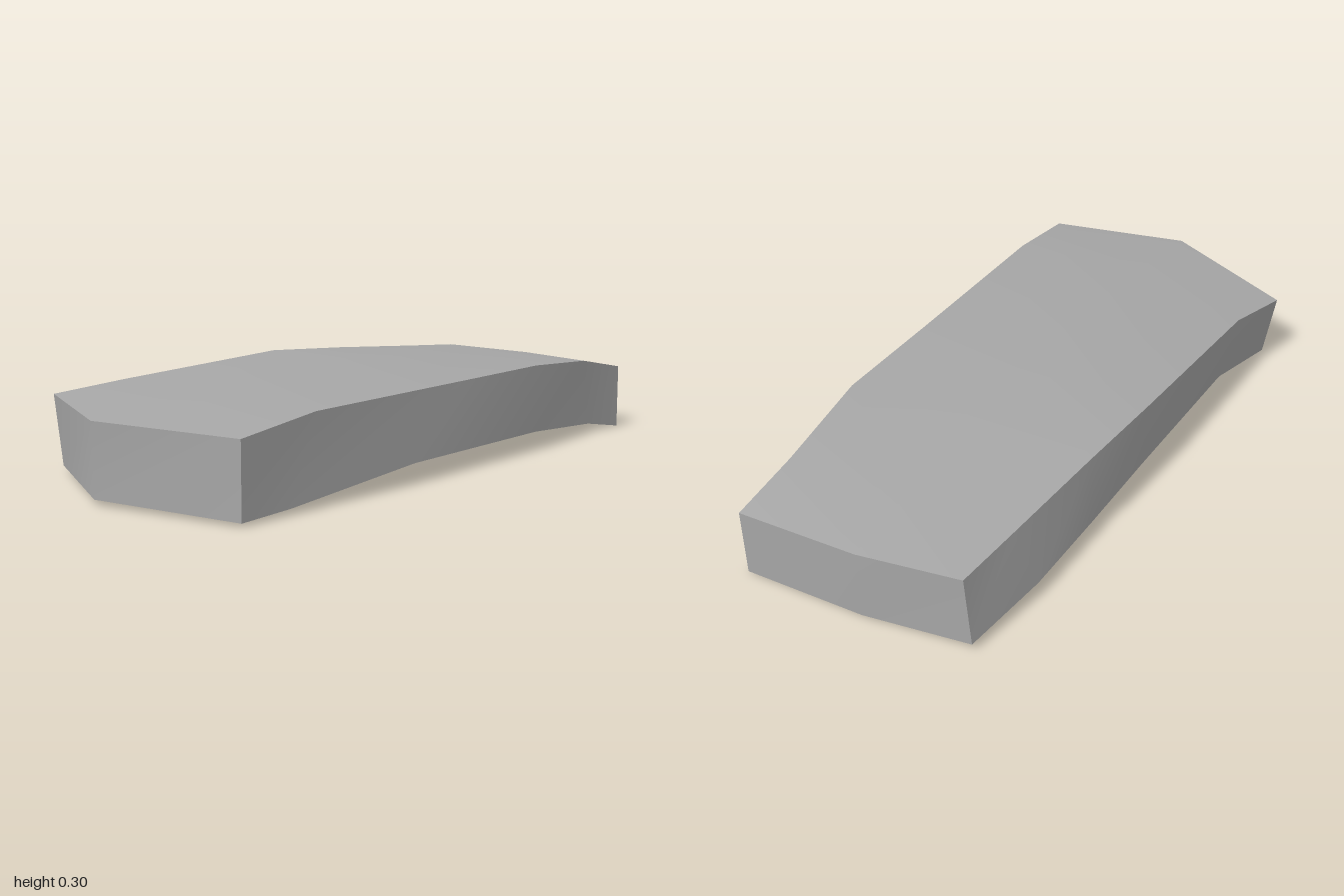
import * as THREE from 'three';

// Edge and centre lines of the slab, each running from -x to +x
const top = {
  front: [[-0.925, 0.22, 0.445], [-0.65, 0.255, 0.45], [0, 0.265, 0.458], [0.4, 0.272, 0.465], [0.76, 0.25, 0.43], [0.985, 0.21, 0.44]],
  mid: [[-1, 0.225, -0.02], [-0.65, 0.268, 0], [0, 0.298, 0.05], [0.4, 0.278, 0.05], [0.76, 0.252, 0.05], [1, 0.23, 0.05]],
  back: [[-0.755, 0.225, -0.475], [-0.53, 0.25, -0.42], [0.1, 0.285, -0.38], [0.4, 0.272, -0.337], [0.76, 0.251, -0.286], [0.965, 0.24, -0.257]],
};
const bottom = {
  front: [[-0.925, 0.01, 0.445], [-0.75, 0.017, 0.452], [-0.25, 0.06, 0.472], [0.4, 0.06, 0.465], [0.8, 0.03, 0.43], [0.985, 0, 0.44]],
  mid: [[-0.995, 0.015, -0.02], [-0.65, 0.03, 0], [-0.1, 0.062, 0.05], [0.4, 0.059, 0.05], [0.8, 0.035, 0.05], [0.995, 0.012, 0.05]],
  back: [[-0.755, 0.015, -0.44], [-0.5, 0.035, -0.38], [0.1, 0.063, -0.365], [0.4, 0.058, -0.35], [0.7, 0.05, -0.33], [0.965, 0.025, -0.275]],
};

// Smooth surface stretched over rows of points
function patch(rows) {
  const n = rows[0].length;
  const index = [];
  for (let r = 0; r < rows.length - 1; r++) {
    for (let c = 0; c < n - 1; c++) {
      const a = r * n + c;
      const b = a + n;
      index.push(a, a + 1, b + 1, a, b + 1, b);
    }
  }
  const geometry = new THREE.BufferGeometry();
  geometry.setAttribute('position', new THREE.Float32BufferAttribute(rows.flat(2), 3));
  geometry.setIndex(index);
  geometry.computeVertexNormals();
  return geometry;
}

// Outline of one end, from front to back
const end = (face, i) => [face.front[i], face.mid[i], face.back[i]];

export function createModel() {
  const stone = new THREE.MeshStandardMaterial({ color: 0xa6a6a6 });
  stone.name = 'stoneGrey';

  const surfaces = {
    topFace: [top.front, top.mid, top.back],
    bottomFace: [bottom.back, bottom.mid, bottom.front],
    frontWall: [bottom.front, top.front],
    backWall: [top.back, bottom.back],
    leftEnd: [end(bottom, 5), end(top, 5)],
    rightEnd: [end(top, 0), end(bottom, 0)],
  };

  const group = new THREE.Group();
  group.name = 'stoneSlab';
  for (const [name, rows] of Object.entries(surfaces)) {
    const mesh = new THREE.Mesh(patch(rows), stone);
    mesh.name = name;
    group.add(mesh);
  }
  return group;
}
